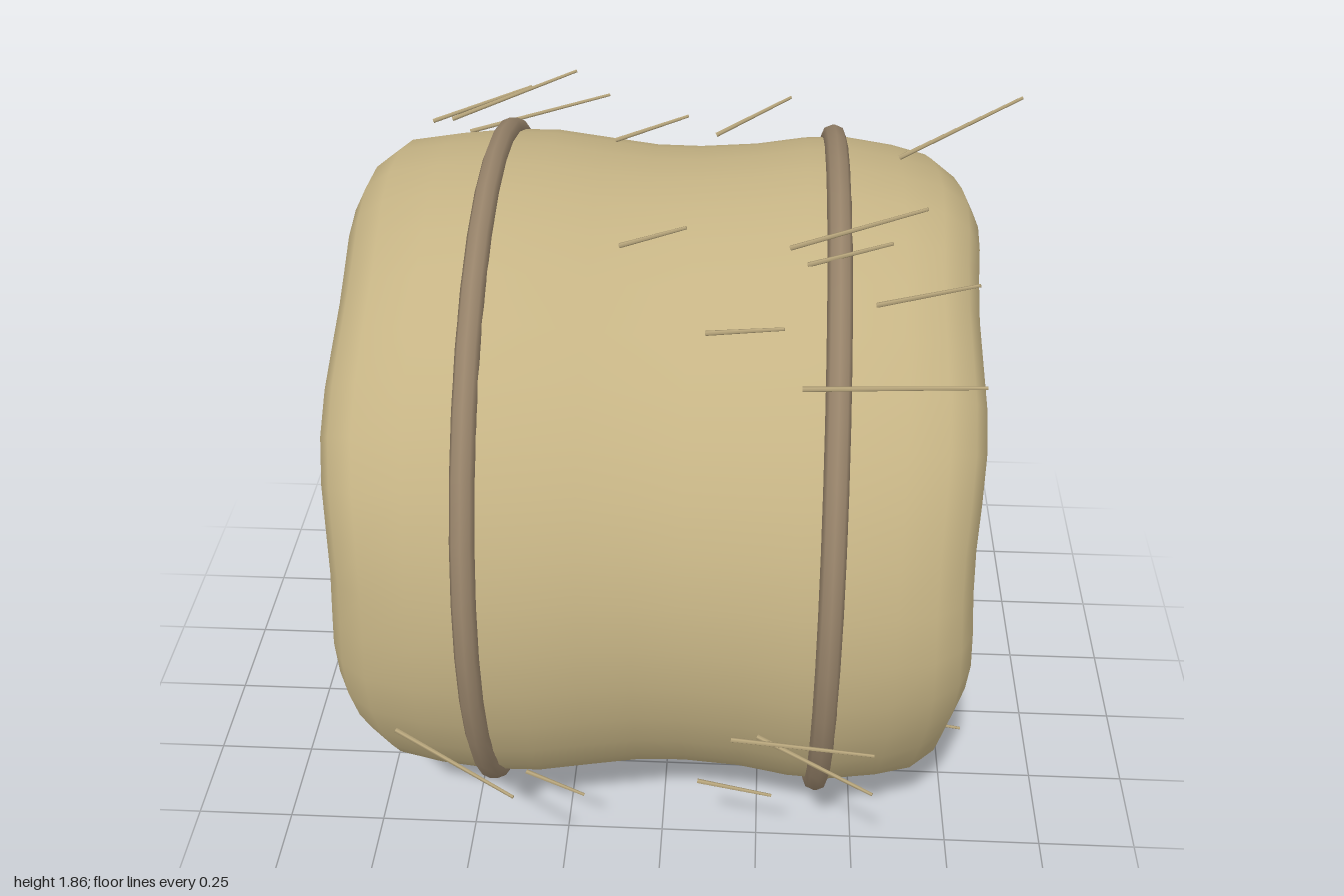
import * as THREE from 'three';
import { mergeVertices } from 'three/addons/utils/BufferGeometryUtils.js';

const CY = 0.915, CZ = 0.045; // the bale's axis runs along x

export function createModel() {
  const hay = new THREE.MeshStandardMaterial({ color: 0xc6b485 });
  hay.name = 'hay';
  const rope = new THREE.MeshStandardMaterial({ color: 0x97836a });
  rope.name = 'rope';
  const stalk = new THREE.MeshStandardMaterial({ color: 0xb8a67c });
  stalk.name = 'stalk';

  const model = new THREE.Group();
  model.name = 'hayBale';
  const add = (geometry, material, name, parent = model) => {
    const mesh = new THREE.Mesh(geometry, material);
    mesh.name = name;
    parent.add(mesh);
    return mesh;
  };

  // Bale: lathe with a pinched waist and slightly lumpy rims
  const profile = [
    [0, -0.75], [0.3, -0.75], [0.56, -0.755], [0.68, -0.75], [0.74, -0.72], [0.785, -0.66],
    [0.808, -0.55], [0.82, -0.42], [0.818, -0.3], [0.8, -0.17], [0.785, -0.05], [0.784, 0.06],
    [0.795, 0.2], [0.815, 0.32], [0.82, 0.42], [0.803, 0.54], [0.78, 0.63], [0.735, 0.69],
    [0.675, 0.72], [0.56, 0.725], [0.3, 0.72], [0, 0.72],
  ].map(([r, x]) => new THREE.Vector2(r, x));
  let body = new THREE.LatheGeometry(profile, 40);
  body.rotateZ(-Math.PI / 2);
  body.deleteAttribute('uv');
  body.deleteAttribute('normal');
  body = mergeVertices(body, 1e-4);
  const p = body.attributes.position;
  for (let i = 0; i < p.count; i++) {
    const x = p.getX(i), y = p.getY(i), z = p.getZ(i);
    const r = Math.hypot(y, z), a = Math.atan2(y, z), side = Math.sign(x);
    const rim = THREE.MathUtils.smoothstep(Math.abs(x), 0.45, 0.7) * Math.min(1, r / 0.6);
    const lump = Math.sin(5 * a + side) + 0.7 * Math.sin(9 * a + 2 * side);
    const k = 1 + 0.008 * rim * lump + 0.004 * Math.sin(4 * a + 5 * x) * (1 - rim);
    p.setXYZ(i, x + side * rim * 0.008 * Math.sin(7 * a + 3 * side), y * k, z * k);
  }
  body.computeVertexNormals();
  add(body, hay, 'bale').position.set(0, CY, CZ);

  // Two binding ropes
  for (const x of [-0.415, 0.39]) {
    const ring = add(new THREE.TorusGeometry(0.822, 0.028, 8, 36), rope, 'bindingRope');
    ring.rotation.y = Math.PI / 2;
    ring.position.set(x, CY, CZ);
  }

  // Loose stalks: start and end of each
  const stalks = [
    // front
    [-0.6, 0.66, 0.84, -0.31, 0.61, 0.99], [0.18, 0.75, 0.925, 0.5, 0.745, 0.955],
    [0.24, 0.69, 0.85, 0.5, 0.65, 0.98], [0.1, 0.43, 0.74, 0.28, 0.41, 0.76],
    [-0.34, 0.3, 0.6, -0.19, 0.255, 0.63],
    // underneath
    [-0.78, 0.115, -0.02, -0.52, 0.075, -0.02], [-0.75, 0.06, -0.22, -0.4, 0.007, -0.24],
    [0.53, 0.09, 0.11, 0.82, 0.03, 0.1],
    // top
    [-0.15, 1.68, -0.2, 0.03, 1.74, -0.22], [0.1, 1.71, -0.18, 0.28, 1.8, -0.21],
    [0.54, 1.71, -0.075, 0.82, 1.86, -0.1], [-0.1, 1.68, 0.34, 0.05, 1.74, 0.36],
    [0.28, 1.69, 0.35, 0.57, 1.82, 0.4], [0.32, 1.66, 0.37, 0.5, 1.74, 0.41],
    [0.1, 1.58, 0.54, 0.27, 1.605, 0.555], [0.47, 1.62, 0.47, 0.68, 1.71, 0.53],
    [0.31, 1.54, 0.69, 0.69, 1.585, 0.735],
  ];
  const backStalks = [
    [-0.65, 1.6, -0.46, -0.39, 1.69, -0.49], [-0.59, 1.63, -0.41, -0.27, 1.74, -0.48],
    [-0.57, 1.53, -0.55, -0.2, 1.6, -0.65], [-0.77, 1.475, -0.46, -0.6, 1.52, -0.52],
    [-0.83, 1.155, -0.69, -0.6, 1.19, -0.79], [-0.47, 1.0, -0.7, -0.02, 1.01, -0.86],
    [-0.19, 0.62, -0.765, 0.11, 0.58, -0.835], [0.14, 0.8, -0.78, 0.46, 0.77, -1],
    [0.14, 1.18, -0.785, 0.34, 1.19, -0.815], [0.4, 1.06, -0.76, 0.63, 1.07, -0.865],
    [0.45, 1.31, -0.7, 0.65, 1.33, -0.75], [0.55, 0.49, -0.65, 0.79, 0.45, -0.73],
  ];
  const looseStalks = new THREE.Group();
  looseStalks.name = 'looseStalks';
  model.add(looseStalks);
  for (const s of [...stalks, ...backStalks]) {
    const a = new THREE.Vector3(...s.slice(0, 3)), b = new THREE.Vector3(...s.slice(3));
    const dir = b.clone().sub(a);
    const mesh = add(new THREE.CylinderGeometry(0.004, 0.006, dir.length(), 5), stalk, 'stalk', looseStalks);
    mesh.position.copy(a).add(b).multiplyScalar(0.5);
    mesh.quaternion.setFromUnitVectors(new THREE.Vector3(0, 1, 0), dir.normalize());
  }
  return model;
}
